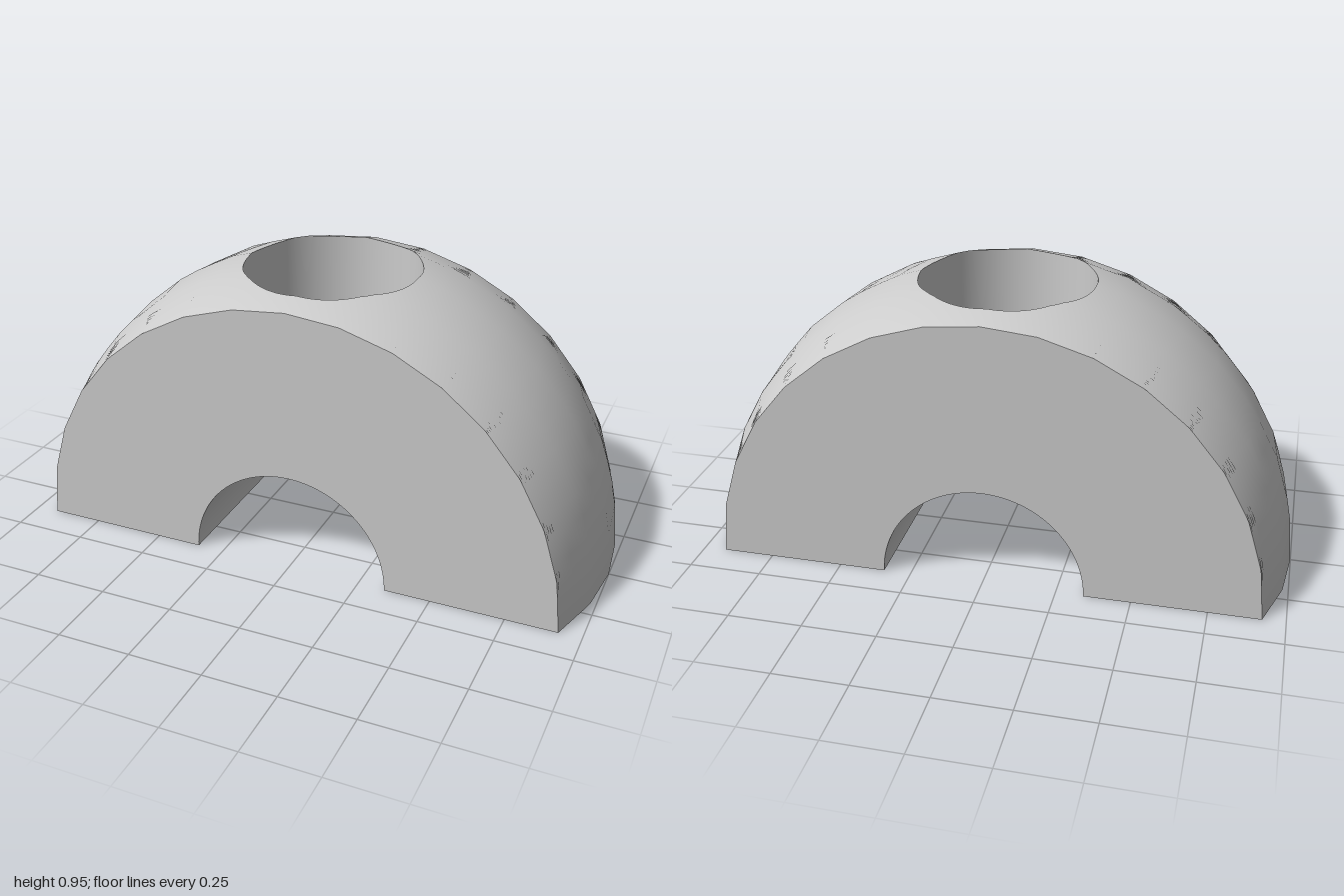
import * as THREE from 'three';

const STEP = Math.PI / 16;            // facet angle of the sphere
const HALF = Math.sin(2 * STEP);      // half depth of the slice
const BORE = 0.343, HOLE = 0.297;
const ROWS = 16;

const material = new THREE.MeshStandardMaterial({ color: 0xcccccc });

// Each shell is a radius around the z axis; phi is measured from straight up.
const facet = (angle) => {
  const r = ((angle % STEP) + STEP) % STEP;
  return Math.cos(STEP / 2) / Math.cos(r - STEP / 2);
};
const sphereRadius = (phi, z) => {
  const a = Math.abs(z), z1 = Math.sin(STEP), r1 = Math.cos(STEP), r2 = Math.cos(2 * STEP);
  const r = a < z1 ? 1 + (r1 - 1) * a / z1 : r1 + (r2 - r1) * (a - z1) / (HALF - z1);
  return r * facet(phi);
};
const boreRadius = () => BORE;

const point = (radius, phi, z) => {
  const r = radius(phi, z);
  return new THREE.Vector3(r * Math.sin(phi), r * Math.cos(phi), z);
};

// Outline of a shell in (phi, z), walked around once
function outline() {
  const pts = [], p = Math.PI / 2, nz = 32, np = 64;
  for (let i = 0; i < nz; i++) pts.push([p, HALF * (2 * i / nz - 1)]);
  for (let i = 0; i < np; i++) pts.push([p * (1 - 2 * i / np), HALF]);
  for (let i = 0; i < nz; i++) pts.push([-p, HALF * (1 - 2 * i / nz)]);
  for (let i = 0; i <= np; i++) pts.push([p * (2 * i / np - 1), -HALF]);
  return pts;
}
const RIM = outline();
const rimAngle = ([phi, z]) => Math.atan2(z / HALF, phi / (Math.PI / 2));

// Where the vertical hole cuts a shell, in (phi, z)
function holePoint(radius, t) {
  const x = HOLE * Math.cos(t), z = HOLE * Math.sin(t);
  let phi = 0;
  for (let k = 0; k < 12; k++) phi = Math.asin(x / radius(phi, z));
  return [phi, z];
}

// Grid surface from a rule giving position and normal
function surface(name, rows, cols, rule, flip) {
  const pos = [], nor = [], index = [];
  for (let j = 0; j <= rows; j++) for (let i = 0; i <= cols; i++) {
    const [p, n] = rule(i, j / rows);
    pos.push(p.x, p.y, p.z);
    nor.push(n.x, n.y, n.z);
  }
  for (let j = 0; j < rows; j++) for (let i = 0; i < cols; i++) {
    const a = j * (cols + 1) + i, b = a + 1, c = a + cols + 1, d = c + 1;
    if (flip) index.push(a, c, b, b, c, d);
    else index.push(a, b, c, b, d, c);
  }
  const g = new THREE.BufferGeometry();
  g.setAttribute('position', new THREE.Float32BufferAttribute(pos, 3));
  g.setAttribute('normal', new THREE.Float32BufferAttribute(nor, 3));
  g.setIndex(index);
  const mesh = new THREE.Mesh(g, material);
  mesh.name = name;
  return mesh;
}

// Shell stretched from the hole edge to its outline
function shell(name, radius, normalOf, flip) {
  return surface(name, ROWS, RIM.length - 1, (i, s) => {
    const [hp, hz] = holePoint(radius, rimAngle(RIM[i]));
    const phi = hp + (RIM[i][0] - hp) * s, z = hz + (RIM[i][1] - hz) * s;
    const p = point(radius, phi, z);
    return [p, normalOf(p)];
  }, flip);
}

function flatFace(name, points) {
  const mesh = new THREE.Mesh(new THREE.ShapeGeometry(new THREE.Shape(points)), material);
  mesh.name = name;
  return mesh;
}

export function createModel() {
  const group = new THREE.Group();
  group.name = 'halfRing';

  // Domed outside and cylindrical inside
  group.add(shell('dome', sphereRadius, (p) => p.clone().normalize(), false));
  group.add(shell('bore', boreRadius, (p) => new THREE.Vector3(-p.x, -p.y, 0).normalize(), true));

  // Wall of the vertical hole
  group.add(surface('holeWall', 1, RIM.length - 1, (i, s) => {
    const t = rimAngle(RIM[i]);
    const [phi, z] = holePoint(s ? boreRadius : sphereRadius, t);
    return [point(s ? boreRadius : sphereRadius, phi, z),
      new THREE.Vector3(-Math.cos(t), 0, -Math.sin(t))];
  }, true));

  // Flat arch on front and back
  const arch = [];
  for (let i = 0; i <= 16; i++) {
    const a = i * STEP;
    arch.push(new THREE.Vector2(Math.cos(a), Math.sin(a)).multiplyScalar(Math.cos(2 * STEP)));
  }
  for (let i = 64; i >= 0; i--) {
    const a = i * Math.PI / 64;
    arch.push(new THREE.Vector2(Math.cos(a), Math.sin(a)).multiplyScalar(BORE));
  }
  for (const side of [1, -1]) {
    const face = flatFace(side > 0 ? 'frontFace' : 'backFace', arch);
    face.position.z = side * HALF;
    if (side < 0) face.rotation.y = Math.PI;
    group.add(face);
  }

  // Feet under both ends
  const foot = [new THREE.Vector2(BORE, -HALF)];
  for (let k = -2; k <= 2; k++) foot.push(new THREE.Vector2(Math.cos(k * STEP), Math.sin(k * STEP)));
  foot.push(new THREE.Vector2(BORE, HALF));
  for (const side of [1, -1]) {
    const face = flatFace(side > 0 ? 'leftFoot' : 'rightFoot', foot);
    face.rotation.set(Math.PI / 2, 0, side > 0 ? 0 : Math.PI);
    group.add(face);
  }
  return group;
}
